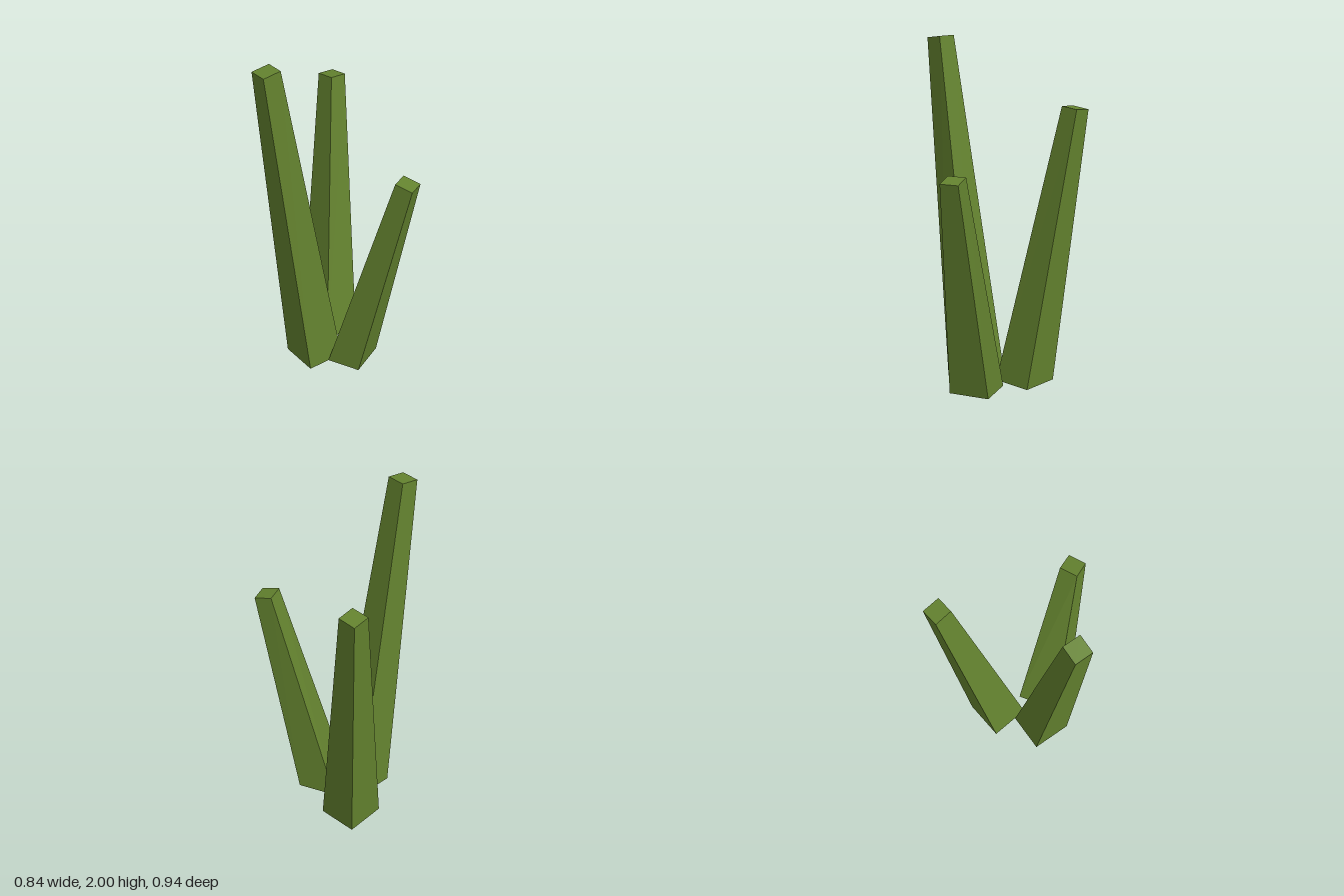
import * as THREE from 'three';

// Square stalk lofted from a base outline [x, z] to a tilted tip outline [x, y, z].
// Corners run back-left, back-right, front-right, front-left; the underside is open.
function makeStalk(name, base, tip, material) {
  const b = base.map(([x, z]) => [x, 0, z]);
  const positions = [];
  const quad = (p, q, r, s) => positions.push(...p, ...q, ...r, ...p, ...r, ...s);
  for (let i = 0; i < 4; i++) {
    const j = (i + 1) % 4;
    quad(b[j], b[i], tip[i], tip[j]);
  }
  quad(tip[0], tip[3], tip[2], tip[1]); // cap

  const geometry = new THREE.BufferGeometry();
  geometry.setAttribute('position', new THREE.Float32BufferAttribute(positions, 3));
  geometry.computeVertexNormals();
  const mesh = new THREE.Mesh(geometry, material);
  mesh.name = name;
  return mesh;
}

export function createModel() {
  const group = new THREE.Group();
  group.name = 'stalkCluster';
  const green = new THREE.MeshStandardMaterial({
    color: 0x64832f, flatShading: true, side: THREE.DoubleSide,
  });
  green.name = 'stalkGreen';

  // Tall stalk leaning to -x
  group.add(makeStalk('tallStalk',
    [[-0.175, -0.188], [0.06, -0.175], [0.048, 0.057], [-0.188, 0.05]],
    [[-0.418, 1.985, -0.128], [-0.31, 2.0, -0.121], [-0.315, 2.0, -0.014], [-0.423, 1.985, -0.02]],
    green));

  // Middle stalk leaning back and to +x
  group.add(makeStalk('backStalk',
    [[0.054, -0.334], [0.294, -0.342], [0.304, -0.108], [0.065, -0.098]],
    [[0.308, 1.62, -0.468], [0.415, 1.61, -0.473], [0.42, 1.62, -0.366], [0.315, 1.63, -0.361]],
    green));

  // Short stalk leaning forward
  group.add(makeStalk('frontStalk',
    [[-0.052, 0.055], [0.158, -0.061], [0.246, 0.152], [0.025, 0.243]],
    [[0.156, 1.315, 0.374], [0.256, 1.315, 0.333], [0.294, 1.29, 0.429], [0.195, 1.29, 0.47]],
    green));

  return group;
}
